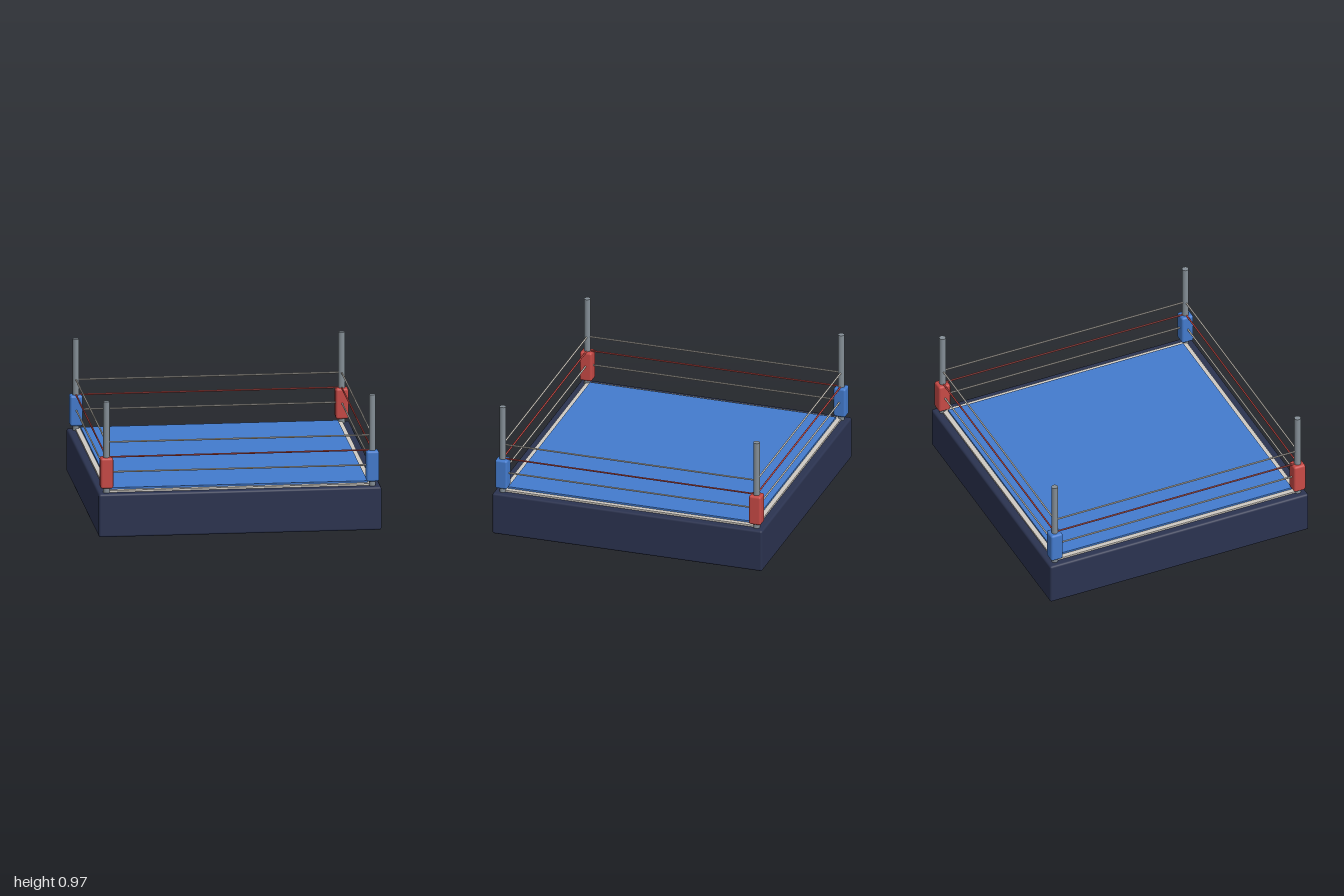
import * as THREE from 'three';
import { RoundedBoxGeometry } from 'three/addons/geometries/RoundedBoxGeometry.js';

function material(name, color) {
  const m = new THREE.MeshStandardMaterial({ color });
  m.name = name;
  return m;
}

export function createModel() {
  const navy = material('navy', 0x2b3350);
  const blue = material('blue', 0x437bce);
  const red = material('red', 0xc84a46);
  const canvas = material('canvas', 0xcfcac2);
  const steel = material('steel', 0x858f97);

  const ring = new THREE.Group();
  ring.name = 'boxingRing';
  const add = (name, geometry, mat, x, y, z) => {
    const mesh = new THREE.Mesh(geometry, mat);
    mesh.name = name;
    mesh.position.set(x, y, z);
    ring.add(mesh);
    return mesh;
  };

  // Platform, canvas border and mat
  add('platform', new RoundedBoxGeometry(2, 0.312, 2, 2, 0.015), navy, 0, 0.156, 0);
  add('canvasBorder', new THREE.BoxGeometry(1.89, 0.02, 1.89), canvas, 0, 0.315, 0);
  add('mat', new THREE.BoxGeometry(1.82, 0.02, 1.82), blue, 0, 0.328, 0);

  // Corner posts with padding, colours alternating around the ring
  const corner = 0.94;
  const postGeometry = new THREE.CylinderGeometry(0.0235, 0.0235, 0.67, 12);
  const padGeometry = new RoundedBoxGeometry(0.09, 0.22, 0.09, 2, 0.015);
  for (const sx of [-1, 1]) {
    for (const sz of [-1, 1]) {
      add('cornerPost', postGeometry, steel, sx * corner, 0.635, sz * corner);
      add('cornerPad', padGeometry, sx === sz ? blue : red, sx * corner, 0.457, sz * corner);
    }
  }

  // Three ropes on each of the four sides
  const ropeGeometry = new THREE.CylinderGeometry(0.006, 0.006, 2 * corner, 8);
  const ropes = [[0.46, canvas], [0.568, red], [0.676, canvas]];
  for (const [y, mat] of ropes) {
    for (const s of [-1, 1]) {
      add('rope', ropeGeometry, mat, 0, y, s * corner).rotation.z = Math.PI / 2;
      add('rope', ropeGeometry, mat, s * corner, y, 0).rotation.x = Math.PI / 2;
    }
  }
  return ring;
}
